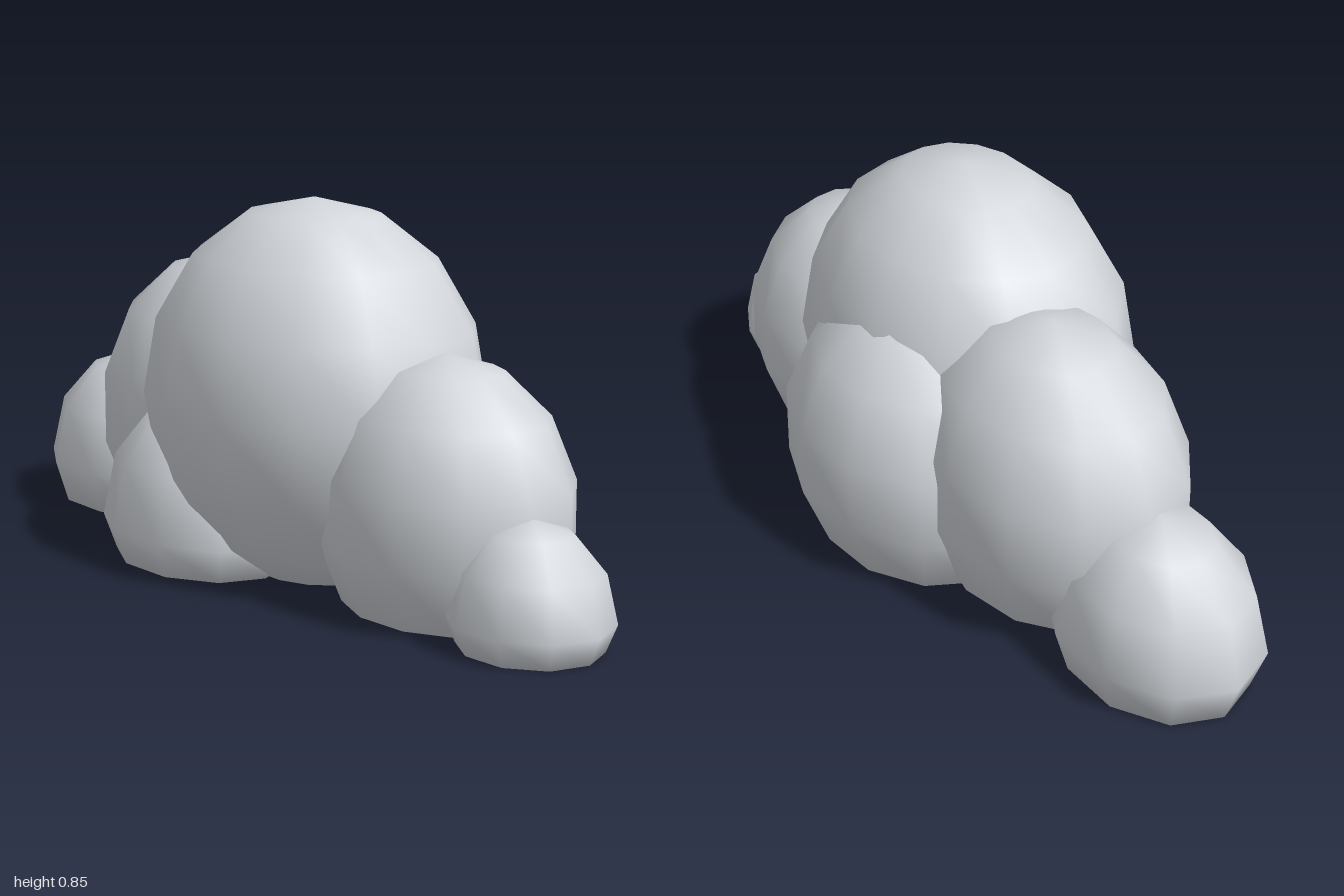
import * as THREE from 'three';
import { mergeVertices } from 'three/addons/utils/BufferGeometryUtils.js';

const cloudGrey = new THREE.MeshStandardMaterial({ color: 0xd3d7dc });
cloudGrey.name = 'cloudGrey';

// Low-poly ellipsoid puff, flattened where it would sink below the ground
function puff(name, [x, y, z], [rx, ry, rz], around, rings, turn) {
  let geo = new THREE.SphereGeometry(1, around, rings);
  geo.rotateY(turn);
  geo.scale(rx, ry, rz);
  geo.translate(x, y, z);
  const pos = geo.attributes.position;
  for (let i = 0; i < pos.count; i++) pos.setY(i, Math.max(0, pos.getY(i)));
  geo.deleteAttribute('uv');
  geo.deleteAttribute('normal');
  geo = mergeVertices(geo, 1e-4);
  geo.computeVertexNormals();
  const mesh = new THREE.Mesh(geo, cloudGrey);
  mesh.name = name;
  return mesh;
}

export function createModel() {
  const cloud = new THREE.Group();
  cloud.name = 'cloud';
  cloud.add(
    // large centre
    puff('mainPuff', [0.07, 0.4, 0.05], [0.45, 0.45, 0.358], 14, 8, 0.07),
    // medium puffs around it
    puff('rightPuff', [-0.355, 0.29, 0], [0.38, 0.385, 0.287], 12, 7, 0.03),
    puff('leftPuff', [0.5, 0.22, 0.012], [0.325, 0.34, 0.26], 12, 7, -0.12),
    puff('backPuff', [-0.02, 0.24, -0.12], [0.37, 0.38, 0.31], 12, 7, -0.12),
    // small outer puffs
    puff('rightEndPuff', [-0.72, 0.1, 0.032], [0.28, 0.28, 0.217], 10, 6, 0.05),
    puff('leftEndPuff', [0.81, 0.06, 0.035], [0.188, 0.21, 0.17], 10, 6, 0.14),
    puff('frontPuff', [-0.15, 0.08, 0.22], [0.28, 0.3, 0.202], 10, 6, 0.12),
  );
  return cloud;
}
